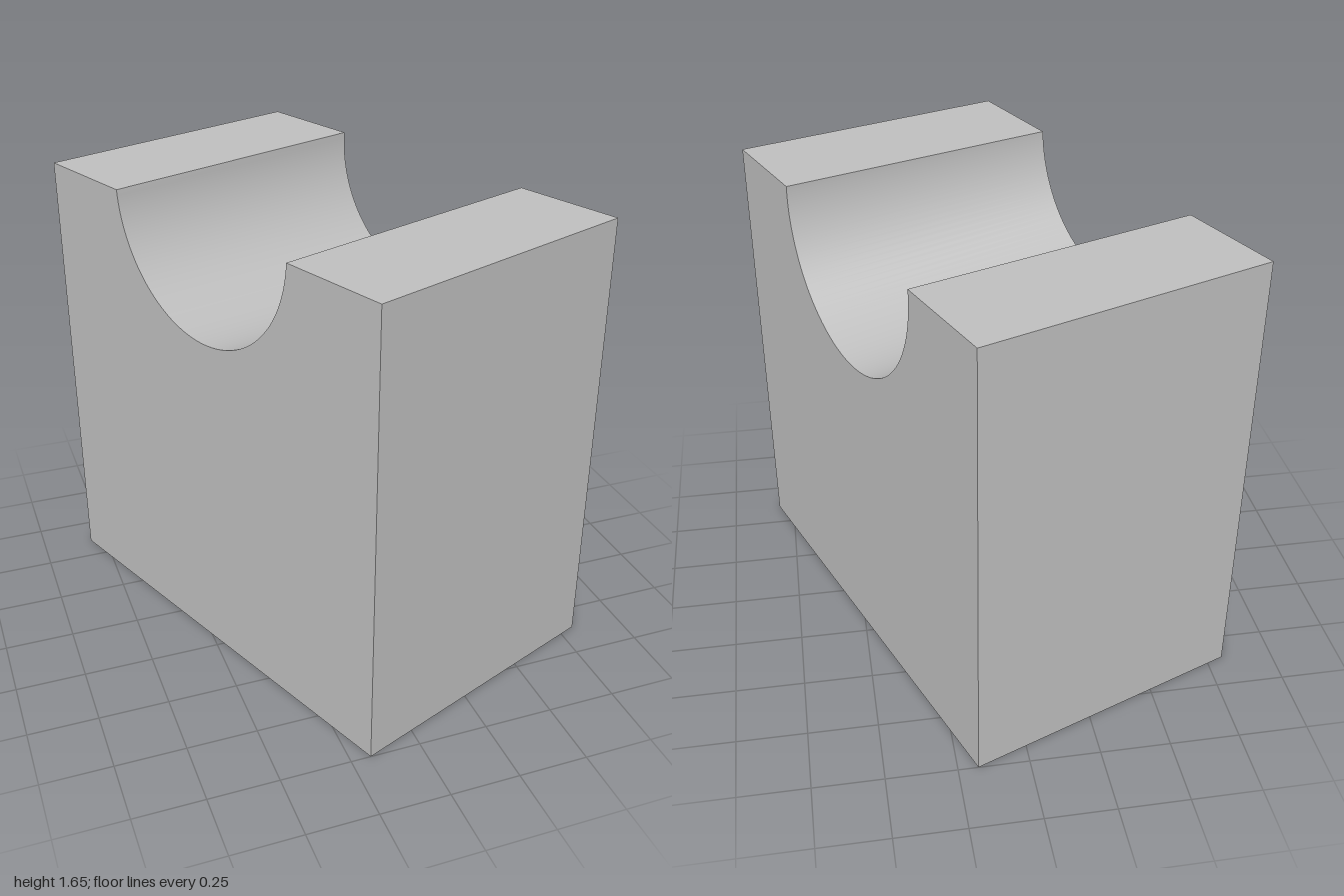
import * as THREE from 'three';
import { toCreasedNormals } from 'three/addons/utils/BufferGeometryUtils.js';

const HALF_WIDTH = 0.532, HALF_LENGTH = 0.865, HEIGHT = 1.652;
const RADIUS = 0.455, ARC_STEPS = 64;

// Cross-section at one end: a rectangle with a round groove cut from its top
function section(x, centreY) {
  const rise = Math.asin((HEIGHT - centreY) / RADIUS);
  const points = [[-HALF_LENGTH, 0], [HALF_LENGTH, 0], [HALF_LENGTH, HEIGHT]];
  for (let i = 0; i <= ARC_STEPS; i++) {
    const a = rise - (Math.PI + 2 * rise) * i / ARC_STEPS;
    points.push([RADIUS * Math.cos(a), centreY + RADIUS * Math.sin(a)]);
  }
  points.push([-HALF_LENGTH, HEIGHT]);
  return points.map(([z, y]) => new THREE.Vector3(x, y, z));
}

// Loft between the two end sections and close both ends
function blockGeometry() {
  const a = section(-HALF_WIDTH, 1.684), b = section(HALF_WIDTH, 1.618);
  const corners = [];
  a.forEach((p, i) => {
    const j = (i + 1) % a.length;
    corners.push(p, b[i], b[j], p, b[j], a[j]);
  });
  const outline = s => s.map(p => new THREE.Vector2(p.z, p.y));
  for (const [i, j, k] of THREE.ShapeUtils.triangulateShape(outline(a), [])) corners.push(a[i], a[j], a[k]);
  for (const [i, j, k] of THREE.ShapeUtils.triangulateShape(outline(b), [])) corners.push(b[i], b[k], b[j]);
  return toCreasedNormals(new THREE.BufferGeometry().setFromPoints(corners), 0.5);
}

export function createModel() {
  const grey = new THREE.MeshStandardMaterial({ color: 0xbfbfbf });
  grey.name = 'grey';

  // Block turned about the vertical, its groove sloping slightly down to +x
  const block = new THREE.Mesh(blockGeometry(), grey);
  block.name = 'groovedBlock';
  block.rotation.y = 0.374;

  const model = new THREE.Group();
  model.name = 'cradleBlock';
  model.add(block);
  return model;
}
